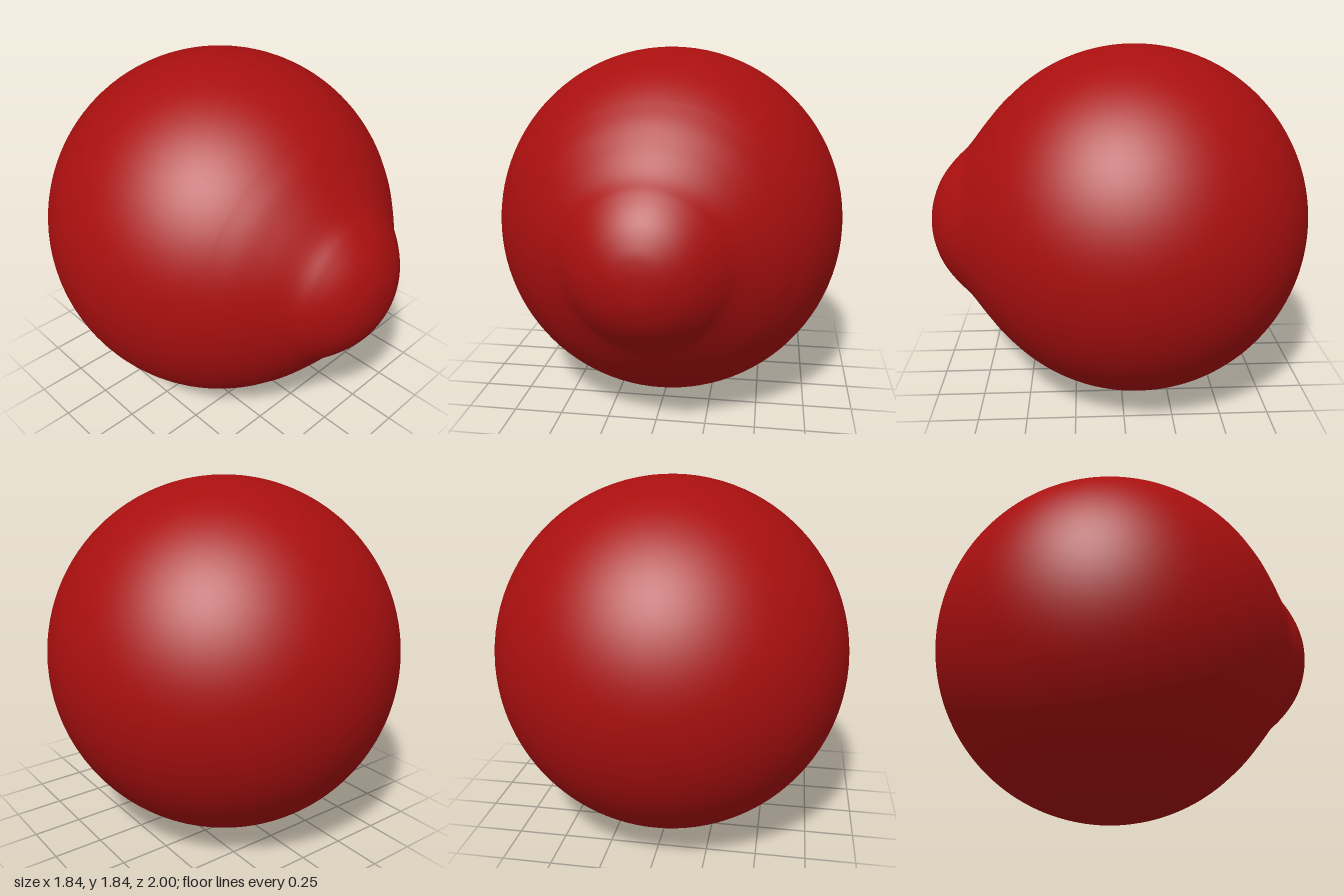
import * as THREE from 'three';

const R = 0.9225;      // globe radius
const CZ = -0.0775;    // globe centre along z

export function createModel() {
  const group = new THREE.Group();
  const material = new THREE.MeshStandardMaterial({ color: 0xaa0f0f, roughness: 0.8 });

  // Globe: arc from the back pole to where the front bulge begins
  const profile = [];
  const start = THREE.MathUtils.degToRad(50);
  for (let i = 0; i <= 60; i++) {
    const a = Math.PI + (start - Math.PI) * (i / 60);
    profile.push(new THREE.Vector2(i === 0 ? 0 : R * Math.sin(a), CZ + R * Math.cos(a)));
  }

  // Front bulge: slight flare, then a rounded dome
  const bulge = new THREE.SplineCurve([
    profile[profile.length - 1].clone(),
    ...[[0.622, 0.608], [0.52, 0.697], [0.41, 0.785], [0.345, 0.852], [0.282, 0.907],
      [0.215, 0.95], [0.13, 0.984], [0.06, 0.997], [0, 1]].map(([r, z]) => new THREE.Vector2(r, z)),
  ]);
  profile.push(...bulge.getPoints(54).slice(1));
  profile[profile.length - 1].x = 0;

  // Revolve around the front-to-back axis
  const geometry = new THREE.LatheGeometry(profile, 96);
  geometry.rotateX(Math.PI / 2);
  const eyeball = new THREE.Mesh(geometry, material);
  eyeball.name = 'eyeball';
  eyeball.position.y = R;
  group.add(eyeball);
  return group;
}
